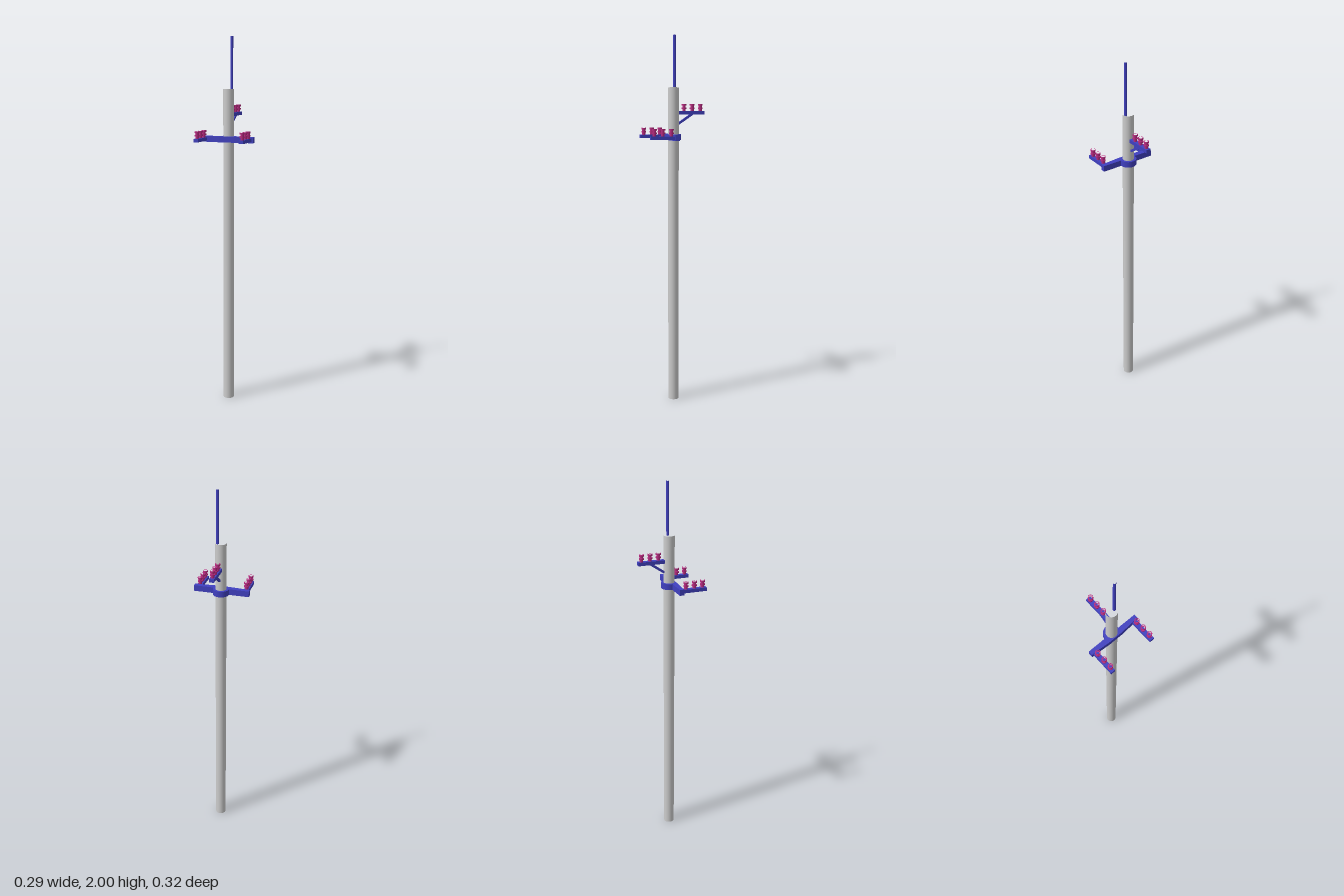
import * as THREE from 'three';

const grey = new THREE.MeshStandardMaterial({ color: 0xcccccc });
const blue = new THREE.MeshStandardMaterial({ color: 0x4040c0 });
const pink = new THREE.MeshStandardMaterial({ color: 0xb82a80 });

const POLE_Z = 0.007;

function add(parent, name, geometry, material, x = 0, y = 0, z = 0) {
  const mesh = new THREE.Mesh(geometry, material);
  mesh.name = name;
  mesh.position.set(x, y, z);
  parent.add(mesh);
  return mesh;
}

// Ribbed insulator: two sheds on a hollow core, open at the top
function insulatorGeometry() {
  const profile = [
    [0.009, 0], [0.009, 0.012], [0.013, 0.012], [0.013, 0.02],
    [0.009, 0.02], [0.009, 0.029], [0.013, 0.029], [0.013, 0.038], [0.0095, 0.038],
  ];
  // each edge is its own lathe band, so the steps stay sharp
  const group = [];
  for (let i = 0; i < profile.length - 1; i++) {
    const pts = [profile[i], profile[i + 1]].map(([r, y]) => new THREE.Vector2(r, y));
    group.push(new THREE.LatheGeometry(pts, 20));
  }
  return group;
}

// Bracket arm along z carrying three insulators
function bracketArm(name, x, top, zFrom, zTo, posts) {
  const arm = new THREE.Group();
  arm.name = name;
  const depth = Math.abs(zTo - zFrom);
  add(arm, 'armBeam', new THREE.BoxGeometry(0.025, 0.018, depth), blue, x, top - 0.009, (zFrom + zTo) / 2);
  const bands = insulatorGeometry();
  for (const z of posts) {
    const insulator = new THREE.Group();
    insulator.name = 'insulator';
    insulator.position.set(x, top, z);
    for (const band of bands) add(insulator, 'insulatorBand', band, pink);
    arm.add(insulator);
  }
  return arm;
}

export function createModel() {
  const model = new THREE.Group();
  model.name = 'utilityPole';

  // Hollow, open-ended pole and the thin mast at its top
  add(model, 'pole', new THREE.CylinderGeometry(0.029, 0.029, 1.73, 32, 1, true), grey, 0, 0.865, POLE_Z);
  add(model, 'mast', new THREE.CylinderGeometry(0.0075, 0.0075, 0.275, 12, 1, true), blue, 0.017, 1.8625, 0.006);

  // Crossarm with a round collar at the back and a slightly tapered front
  const plan = new THREE.Shape();
  plan.moveTo(-0.147, -0.034);
  plan.lineTo(-0.12, -0.034);
  plan.lineTo(-0.042, -0.04);
  plan.lineTo(0.042, -0.04);
  plan.lineTo(0.12, -0.034);
  plan.lineTo(0.147, -0.034);
  plan.lineTo(0.147, -0.01);
  plan.lineTo(0.042, -0.01);
  plan.absarc(0, -0.008, 0.042, 0, Math.PI, false);
  plan.lineTo(-0.042, -0.01);
  plan.lineTo(-0.147, -0.01);
  const crossarm = new THREE.ExtrudeGeometry(plan, { depth: 0.031, bevelEnabled: false, curveSegments: 24 });
  crossarm.rotateX(-Math.PI / 2);
  add(model, 'crossarm', crossarm, blue, 0, 1.452, 0);

  // Two front arms
  for (const side of [-1, 1]) {
    model.add(bracketArm(side > 0 ? 'leftArm' : 'rightArm', side * 0.125, 1.477, 0.03, 0.162, [0.051, 0.097, 0.142]));
  }

  // Higher rear arm with its diagonal strut
  model.add(bracketArm('rearArm', 0, 1.605, -0.02, -0.162, [-0.052, -0.097, -0.143]));
  const from = new THREE.Vector3(0, 1.538, -0.02);
  const to = new THREE.Vector3(0, 1.592, -0.1);
  const strut = add(model, 'strut', new THREE.BoxGeometry(0.012, 0.012, from.distanceTo(to)), blue);
  strut.position.copy(from).lerp(to, 0.5);
  strut.lookAt(to);

  return model;
}
